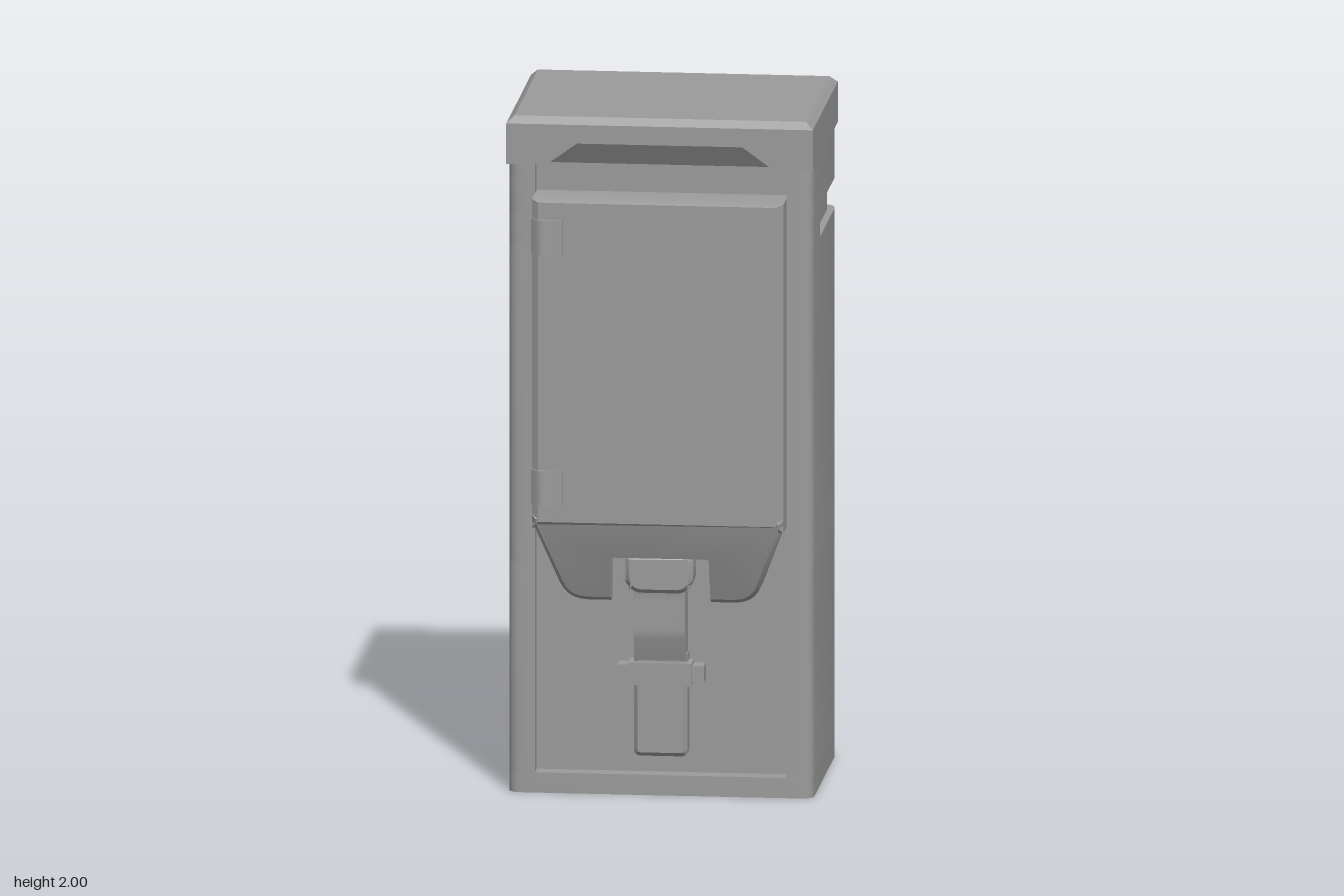
import * as THREE from 'three';
import { toCreasedNormals } from 'three/addons/utils/BufferGeometryUtils.js';

const grey = new THREE.MeshStandardMaterial({ color: 0x9b9b9b });

function add(parent, name, geometry) {
  const mesh = new THREE.Mesh(toCreasedNormals(geometry, 0.6), grey);
  mesh.name = name;
  parent.add(mesh);
  return mesh;
}

// Closed polygon from [x, y, cornerRadius] points
function polygon(points) {
  const shape = new THREE.Shape();
  const n = points.length;
  points.forEach(([x, y, r = 0], i) => {
    const p = new THREE.Vector2(x, y);
    const toward = ([qx, qy]) => new THREE.Vector2(qx - x, qy - y).setLength(r).add(p);
    const a = r ? toward(points[(i + n - 1) % n]) : p;
    if (i === 0) shape.moveTo(a.x, a.y);
    else shape.lineTo(a.x, a.y);
    if (r) {
      const b = toward(points[(i + 1) % n]);
      shape.quadraticCurveTo(x, y, b.x, b.y);
    }
  });
  shape.closePath();
  return shape;
}

// Prism along z, with an optional inward chamfer of the given size and depth
const extrude = (points, depth, size = 0, thickness = 0) =>
  new THREE.ExtrudeGeometry(polygon(points), {
    depth, curveSegments: 5, bevelEnabled: size > 0, bevelSegments: 1,
    bevelSize: size, bevelOffset: -size, bevelThickness: thickness,
  });

// Right half of an outline completed by its mirror image
const mirrored = (half) => [...half, ...half.map(([x, y, r]) => [-x, y, r]).reverse()];

// Plan outline (x, -z) raised from y0 to y1
const raise = (points, y0, y1) => extrude(points, y1 - y0).rotateX(-Math.PI / 2).translate(0, y0, 0);

// Side profile (z, y) stretched across the width
const across = (points, width) => extrude(points, width).rotateY(-Math.PI / 2).translate(width / 2, 0, 0);

// Box between two corners
function block(x0, x1, y0, y1, z0, z1) {
  return new THREE.BoxGeometry(x1 - x0, y1 - y0, z1 - z0)
    .translate((x0 + x1) / 2, (y0 + y1) / 2, (z0 + z1) / 2);
}

// Plan of the cabinet: front and back recess depths, and the groove depth round the rear corners
function plan(front, back, groove) {
  const half = [];
  if (front) half.push([0.365, -0.27 + front], [0.365, -0.27]);
  half.push([0.443, -0.27, 0.04]);
  if (groove) half.push([0.443, -0.09], [0.443 - groove, -0.09]);
  half.push([0.443 - groove, 0.362 - groove, 0.05]);
  if (back) half.push([0.33, 0.362 - groove], [0.33, 0.362 - back]);
  return mirrored(half);
}

function makeBody() {
  const body = new THREE.Group();
  body.name = 'body';
  const sections = [
    ['base', 0, 0.06, 0, 0.02, 0],
    ['lowerBody', 0.06, 0.68, 0.05, 0.02, 0],
    ['middleBody', 0.68, 1.62, 0.05, 0.07, 0],
    ['sideGroove', 1.62, 1.71, 0.05, 0.07, 0.02],
    ['upperBody', 1.71, 1.82, 0.05, 0.07, 0],
    ['topRail', 1.82, 1.87, 0.05, 0, 0],
  ];
  for (const [name, y0, y1, front, back, groove] of sections) {
    add(body, name, raise(plan(front, back, groove), y0, y1));
  }
  // Bar across the rear recess and sloped top of the lower rear panel
  add(body, 'rearBar', across([[-0.28, 1.225], [-0.28, 1.33], [-0.325, 1.3], [-0.325, 1.24]], 0.66));
  add(body, 'rearPanelSlope', across([[-0.28, 0.67], [-0.28, 0.715], [-0.342, 0.68], [-0.342, 0.67]], 0.66));
  return body;
}

function makeLid() {
  const lid = new THREE.Group();
  lid.name = 'lid';
  add(lid, 'lidBlock', block(-0.445, 0.445, 1.86, 1.98, -0.375, 0.22));
  // Front lip with a trapezoid hand cutout and its sloping roof
  add(lid, 'frontLip', extrude(
    mirrored([[0.24, 1.925], [0.33, 1.86], [0.445, 1.86], [0.445, 1.98]]), 0.077).translate(0, 0, 0.22));
  add(lid, 'cutoutSlope', across([[0.21, 1.86], [0.256, 1.86], [0.296, 1.925], [0.21, 1.925]], 0.66));
  // Chamfered top
  const cap = new THREE.BoxGeometry(0.89, 0.02, 0.672);
  const p = cap.attributes.position;
  for (let i = 0; i < p.count; i++) {
    if (p.getY(i) > 0) {
      p.setX(i, Math.sign(p.getX(i)) * 0.423);
      p.setZ(i, Math.sign(p.getZ(i)) * 0.314);
    }
  }
  add(lid, 'lidTop', cap.translate(0, 1.99, -0.039));
  return lid;
}

function makeDoor() {
  const door = new THREE.Group();
  door.name = 'door';
  // Panel with wide side chamfers and a fine top one
  const panel = extrude(mirrored([[0.365, 0.8], [0.365, 1.77]]), 0.15, 0.02, 0.015).translate(0, 0, 0.2);
  const q = panel.attributes.position;
  for (let i = 0; i < q.count; i++) {
    if (q.getZ(i) > 0.36 && q.getY(i) > 1.7) q.setY(i, 1.763);
  }
  add(door, 'doorPanel', panel);

  // Skirt slopes back below the panel; its latch notch keeps square edges
  const skirt = extrude(
    mirrored([[0.145, 0.71], [0.145, 0.57], [0.272, 0.57, 0.06], [0.365, 0.82], [0.365, 0.84]]),
    0.15, 0.012, 0.015).translate(0, 0, 0.2);
  const p = skirt.attributes.position;
  for (let i = 0; i < p.count; i++) {
    const x = p.getX(i);
    if (Math.abs(x) < 0.165) {
      p.setX(i, Math.sign(x) * 0.145);
      if (p.getY(i) > 0.68 && p.getY(i) < 0.75) p.setY(i, 0.71);
    }
    if (p.getZ(i) > 0.3) p.setZ(i, p.getZ(i) - Math.max(0, 0.82 - p.getY(i)) * 0.4);
  }
  add(door, 'doorSkirt', skirt);

  // Hinge leaves wrapping the edge
  for (const y of [0.87, 1.61]) {
    add(door, 'hinge', raise([
      [-0.367, -0.3], [-0.367, -0.354], [-0.343, -0.375, 0.008],
      [-0.325, -0.375], [-0.31, -0.371], [-0.275, -0.371], [-0.275, -0.3],
    ], y, y + 0.103));
  }
  return door;
}

function makeLatch() {
  const latch = new THREE.Group();
  latch.name = 'latch';
  // Strap: flat tail, bent upper part, flared head
  add(latch, 'strapTail', extrude(
    mirrored([[0.078, 0.115, 0.02], [0.078, 0.42]]), 0.05, 0.012, 0.012).translate(0, 0, 0.213));
  add(latch, 'strap', across([
    [0.21, 0.4], [0.275, 0.4], [0.302, 0.48, 0.02], [0.302, 0.6, 0.02],
    [0.312, 0.65, 0.01], [0.312, 0.69], [0.21, 0.69],
  ], 0.15));
  add(latch, 'strapHead', extrude(
    mirrored([[0.08, 0.605, 0.03], [0.098, 0.64, 0.015], [0.098, 0.716, 0.01]]),
    0.09, 0.012, 0.012).translate(0, 0, 0.215));
  // Keeper holding the strap, with side tabs
  add(latch, 'keeper', block(-0.092, 0.092, 0.328, 0.395, 0.21, 0.29));
  for (const s of [-1, 1]) {
    add(latch, 'keeperTab', block(-0.02, 0.02, 0.336, 0.385, 0.21, 0.275)).position.x = s * 0.106;
  }
  return latch;
}

export function createModel() {
  const model = new THREE.Group();
  model.name = 'cabinet';
  model.add(makeBody(), makeLid(), makeDoor(), makeLatch());
  return model;
}
